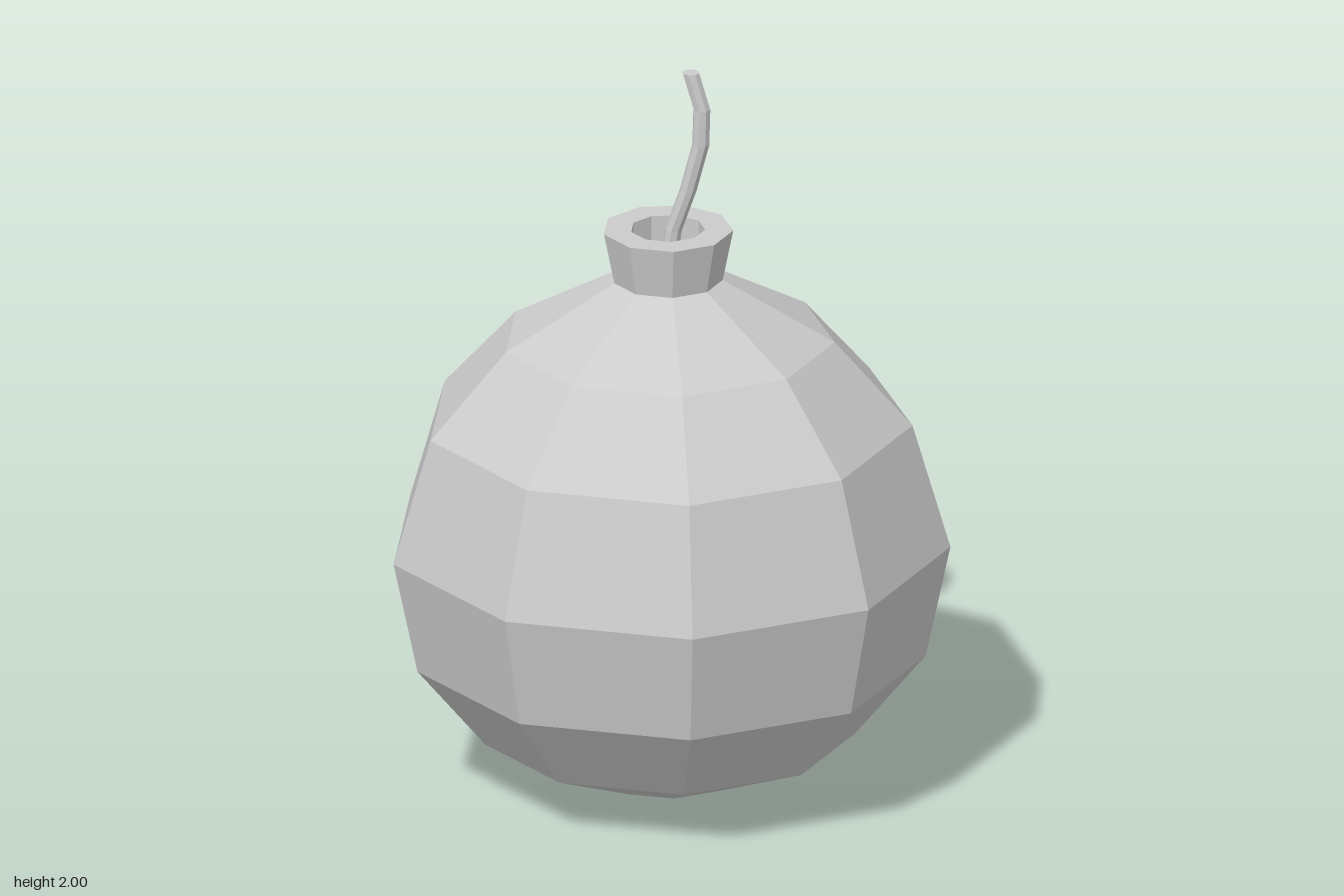
import * as THREE from 'three';

const SIDES = 9;
const material = new THREE.MeshStandardMaterial({ color: 0xcccccc, flatShading: true });

// Faceted turned part from [radius, height] pairs, one corner pointing backwards
function turned(name, profile) {
  const points = profile.map(([r, y]) => new THREE.Vector2(r, y));
  const mesh = new THREE.Mesh(new THREE.LatheGeometry(points, SIDES, Math.PI), material);
  mesh.name = name;
  return mesh;
}

// Fuse: a cylinder whose rings are slid along a bent path of [x, y] points
function bentFuse(path, radius) {
  const rows = path.length - 1;
  const geometry = new THREE.CylinderGeometry(radius, radius, rows, 8, rows);
  const pos = geometry.attributes.position;
  for (let i = 0; i < pos.count; i++) {
    const [x, y] = path[Math.round(pos.getY(i) + rows / 2)];
    pos.setX(i, pos.getX(i) + x);
    pos.setY(i, y);
  }
  geometry.computeVertexNormals();
  const mesh = new THREE.Mesh(geometry, material);
  mesh.name = 'fuse';
  return mesh;
}

export function createModel() {
  const group = new THREE.Group();
  group.name = 'bomb';

  // Round body
  const body = turned('body', [
    [0, 0], [0.185, 0.022], [0.495, 0.152], [0.68, 0.376], [0.745, 0.684],
    [0.645, 1.022], [0.44, 1.25], [0.145, 1.415], [0, 1.415],
  ]);

  // Flared neck with a recessed socket
  const neck = turned('neck', [
    [0.145, 1.415], [0.173, 1.555], [0.099, 1.555], [0.099, 1.44], [0, 1.44],
  ]);

  const fuse = bentFuse([
    [-0.003, 1.43], [0.016, 1.555], [0.056, 1.67], [0.09, 1.8], [0.093, 1.9], [0.063, 2],
  ], 0.023);

  group.add(body, neck, fuse);
  // An odd number of sides needs a small shift to centre the depth
  for (const part of group.children) part.position.z = 0.022;
  return group;
}
